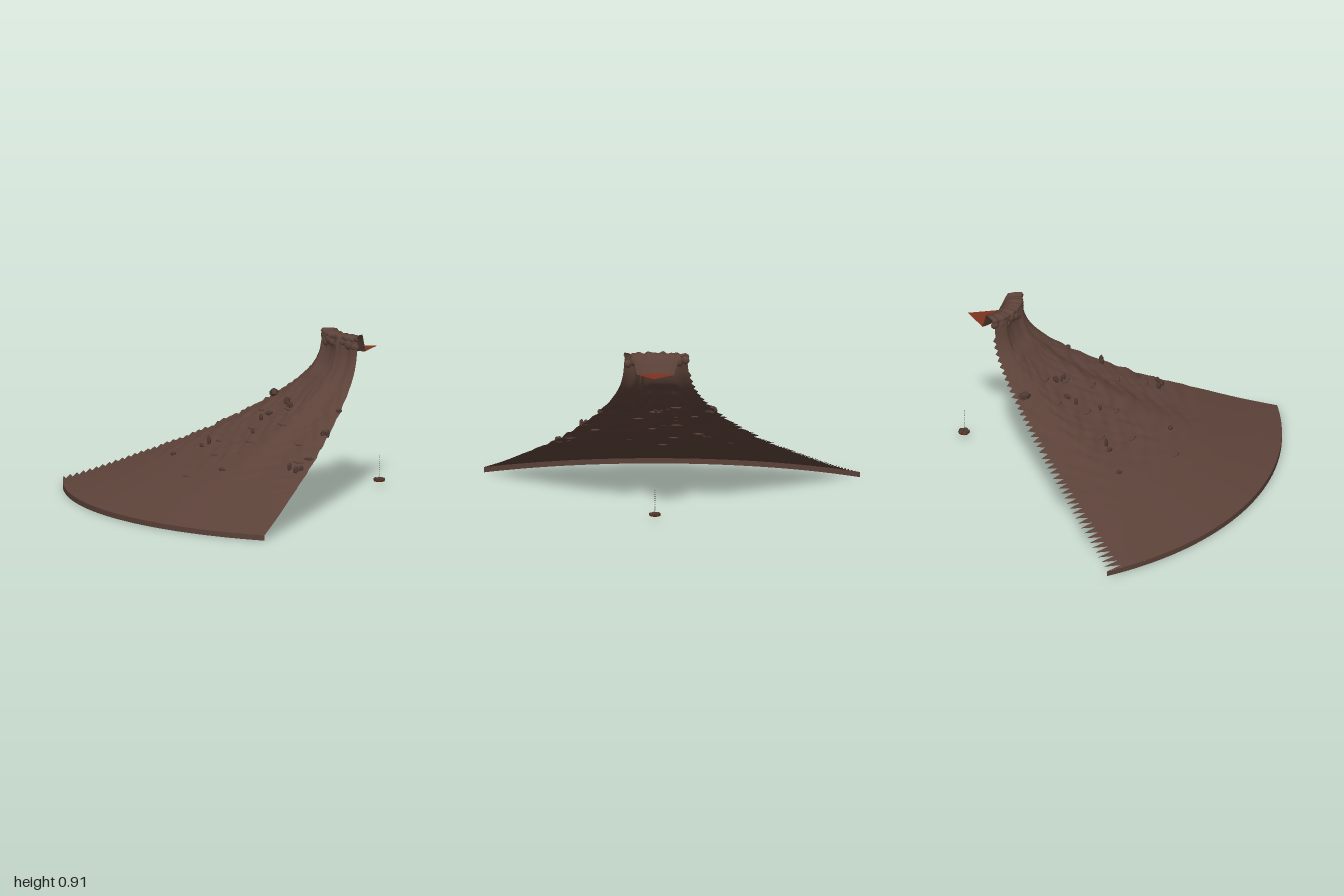
import * as THREE from 'three';

const AXIS_X = 0.46, AXIS_Z = -0.855;
const RAD = Math.PI / 180;
const RIGHT = 18 * RAD, LEFT = -52.5 * RAD, TOOTH = -55.8 * RAD;
const RINGS = 92, COLS = 84;

// Slope profile: distance from the axis, height
const profile = new THREE.SplineCurve([
  [1.765, 0.03], [1.55, 0.1], [1.28, 0.2], [1.02, 0.3], [0.81, 0.4], [0.62, 0.5],
  [0.47, 0.6], [0.37, 0.69], [0.325, 0.77], [0.31, 0.84], [0.3, 0.895],
].map(([r, y]) => new THREE.Vector2(r, y))).getSpacedPoints(RINGS);

// Angle is measured from +z towards +x
const polar = (r, y, a) => new THREE.Vector3(AXIS_X + r * Math.sin(a), y, AXIS_Z + r * Math.cos(a));
const step = (a, b, v) => THREE.MathUtils.smoothstep(v, a, b);
const bump = (v, c, w) => Math.exp(-(((v - c) / w) ** 2));

// Gullies, wrinkles and ledges on the slope
function slopePoint(i, a) {
  const { x: r, y } = profile[i];
  const d = a / RAD;
  const fade = 1 - step(0.7, 1.55, r);
  const top = 1 - step(0.86, 0.9, y) * 0.5;
  let k = 0.014 * bump(d, -5, 5) - 0.016 * bump(d, 5, 5) - 0.008 * bump(d, -24, 7) + 0.008 * bump(d, -40, 6);
  k *= fade * top;
  // terraced wrinkles, wandering with the angle
  const wander = 2.2 * Math.sin(a * 13) + 1.3 * Math.sin(a * 29 + r * 5);
  const wr = Math.sin(r * 44 + wander) + 0.6 * Math.sin(r * 75 - wander * 1.4 + a * 7);
  k += 0.0055 * wr * (1 - step(0.9, 1.5, r)) * step(0.32, 0.5, r) * (0.45 + 0.55 * Math.sin(a * 17 + r * 9) ** 2);
  // recessed panel and lower lip under the crater
  const panel = step(-38, -34, d) * (1 - step(-11, -8, d));
  k -= 0.014 * panel * step(0.69, 0.71, y) * (1 - step(0.83, 0.86, y));
  k += 0.01 * panel * bump(y, 0.67, 0.02);
  // narrow crack beside the panel
  k -= 0.014 * bump(d, -3, 1.3) * step(0.62, 0.66, y) * (1 - step(0.83, 0.87, y));
  const steep = step(0.3, 0.7, y);
  return polar(r + k * (0.3 + 0.7 * steep), y + k * (1 - steep), a);
}

// Smooth surface from a grid of points
function gridSurface(nu, nv, fn) {
  const pos = [], idx = [];
  for (let i = 0; i <= nu; i++) for (let j = 0; j <= nv; j++) pos.push(...fn(i, j).toArray());
  for (let i = 0; i < nu; i++) for (let j = 0; j < nv; j++) {
    const a = i * (nv + 1) + j, b = a + 1, c = a + nv + 1, d = c + 1;
    idx.push(a, b, c, b, d, c);
  }
  const g = new THREE.BufferGeometry();
  g.setAttribute('position', new THREE.Float32BufferAttribute(pos, 3));
  g.setIndex(idx);
  g.computeVertexNormals();
  return g;
}

const angleAt = (j) => THREE.MathUtils.lerp(LEFT, RIGHT, j / COLS);

export function createModel() {
  const model = new THREE.Group();
  const earth = new THREE.MeshStandardMaterial({ color: 0x5c4239, side: THREE.DoubleSide });
  earth.name = 'brown earth';
  const stone = new THREE.MeshStandardMaterial({ color: 0x4e3831, flatShading: true });
  stone.name = 'dark stone';
  const molten = new THREE.MeshStandardMaterial({ color: 0x80321f, side: THREE.DoubleSide });
  molten.name = 'dull red lava';

  function add(name, geometry, material, parent = model) {
    const m = new THREE.Mesh(geometry, material);
    m.name = name;
    parent.add(m);
    return m;
  }

  // Mountain slope, with a saw-toothed left edge
  add('slope', gridSurface(RINGS, COLS + 1, (i, j) => {
    const tooth = i % 2 === 0 && i < RINGS - 4;
    return slopePoint(i, j === 0 ? (tooth ? TOOTH : LEFT - 0.001) : angleAt(j - 1));
  }), earth);

  // Low vertical band round the foot
  add('footBand', gridSurface(1, COLS, (i, j) => {
    const a = THREE.MathUtils.lerp(TOOTH, RIGHT, j / COLS);
    return polar(1.765, i * 0.03, a);
  }), earth);

  // Lumpy crater lip, ribbed on top and falling to the lava
  const lip = [[0.3, 0.875], [0.312, 0.888], [0.302, 0.902], [0.26, 0.904], [0.222, 0.9], [0.2, 0.85], [0.175, 0.8]];
  add('craterLip', gridSurface(lip.length - 1, COLS, (i, j) => {
    const a = THREE.MathUtils.lerp(-54.5 * RAD, RIGHT, j / COLS);
    const [r, y] = lip[i];
    const lump = Math.sin(a * 26) * 0.6 + Math.sin(a * 43 + 1) * 0.4;
    const onTop = i > 0 && i < 5 ? 1 : 0;
    return polar(r + 0.005 * lump * onTop, y + 0.006 * lump * onTop, a);
  }), earth);

  // Overhanging crust lumps below the lip
  for (let n = 0; n < 9; n++) {
    const a = (-51 + n * 8.2) * RAD;
    const m = add('crustLump', new THREE.IcosahedronGeometry(1, 1), earth);
    m.position.copy(polar(0.298, 0.868 - 0.012 * (n % 3), a));
    m.rotation.y = a;
    m.scale.set(0.026, 0.024 + 0.006 * (n % 2), 0.017);
  }

  // Lava wedge inside the crater
  add('lava', gridSurface(1, 20, (i, j) =>
    polar(i ? 0.002 : 0.18, 0.803, THREE.MathUtils.lerp(-54.5 * RAD, RIGHT, j / 20))), molten);

  // Stones on the slope: x, z, width, height, depth
  const stones = [
    [0.03, -0.475, 0.04, 0.026, 0.026], [-0.24, 0.1, 0.018, 0.013, 0.016], [0.29, 0.32, 0.023, 0.011, 0.014],
    [0.15, -0.19, 0.012, 0.026, 0.012], [0.2, -0.07, 0.014, 0.02, 0.012], [0.3, -0.29, 0.014, 0.022, 0.012],
    [0.24, -0.33, 0.012, 0.026, 0.02], [0.27, -0.3, 0.01, 0.022, 0.01], [0.66, -0.13, 0.015, 0.022, 0.013],
    [0.69, -0.13, 0.012, 0.024, 0.012], [0.68, 0.2, 0.012, 0.028, 0.012], [0.73, 0.2, 0.015, 0.025, 0.016],
    [0.75, 0.18, 0.013, 0.02, 0.013], [-0.06, 0, 0.01, 0.035, 0.012], [-0.09, 0.02, 0.022, 0.013, 0.014],
    [0.17, -0.25, 0.012, 0.016, 0.025], [0.63, -0.3, 0.018, 0.014, 0.014], [0.72, 0.08, 0.03, 0.01, 0.012],
  ];
  const place = (m, x, z, lift) => {
    const dx = x - AXIS_X, dz = z - AXIS_Z, r = Math.hypot(dx, dz), a = Math.atan2(dx, dz);
    let best = 0;
    profile.forEach((p, i) => { if (Math.abs(p.x - r) < Math.abs(profile[best].x - r)) best = i; });
    m.position.copy(slopePoint(best, a));
    m.position.y += lift;
    m.rotation.y = a;
  };
  const stoneGroup = new THREE.Group();
  stoneGroup.name = 'stones';
  model.add(stoneGroup);
  for (const [x, z, w, h, d] of stones) {
    const m = add('stone', new THREE.DodecahedronGeometry(1.05), stone, stoneGroup);
    place(m, x, z, h * 0.4);
    m.scale.set(w, h, d);
  }

  // Thin ledges lying across the slope: radius, angle in degrees, length
  const ledges = [
    [0.55, -28, 0.07], [0.6, -16, 0.09], [0.68, -34, 0.06], [0.72, -8, 0.08], [0.8, -24, 0.08],
    [0.9, -14, 0.06], [0.95, -30, 0.07], [1.05, -21, 0.07], [0.85, 8, 0.07], [1.0, 13, 0.08], [1.3, -17, 0.06],
  ];
  for (const [r, deg, len] of ledges) {
    const m = add('ledge', new THREE.OctahedronGeometry(1, 1), earth);
    const p = polar(r, 0, deg * RAD);
    place(m, p.x, p.z, 0);
    m.scale.set(len / 2, 0.007, 0.014);
  }

  // Small ember rock behind the cone with a dotted trail above it
  const ember = new THREE.Group();
  ember.name = 'ember';
  ember.position.set(0.46, 0, -0.876);
  model.add(ember);
  for (let n = 0; n < 5; n++) {
    const a = n * Math.PI * 0.4;
    const lump = add('emberLump', new THREE.DodecahedronGeometry(0.016), stone, ember);
    lump.position.set(0.019 * Math.sin(a), 0.038, 0.019 * Math.cos(a));
    lump.scale.y = 0.6;
  }
  const base = add('emberBase', new THREE.CylinderGeometry(0.034, 0.03, 0.007, 10), molten, ember);
  base.position.y = 0.03;
  for (let n = 0; n < 11; n++) {
    const dot = add('trailDot', new THREE.BoxGeometry(0.003, 0.004, 0.003), stone, ember);
    dot.position.y = 0.06 + n * 0.011;
  }
  return model;
}
